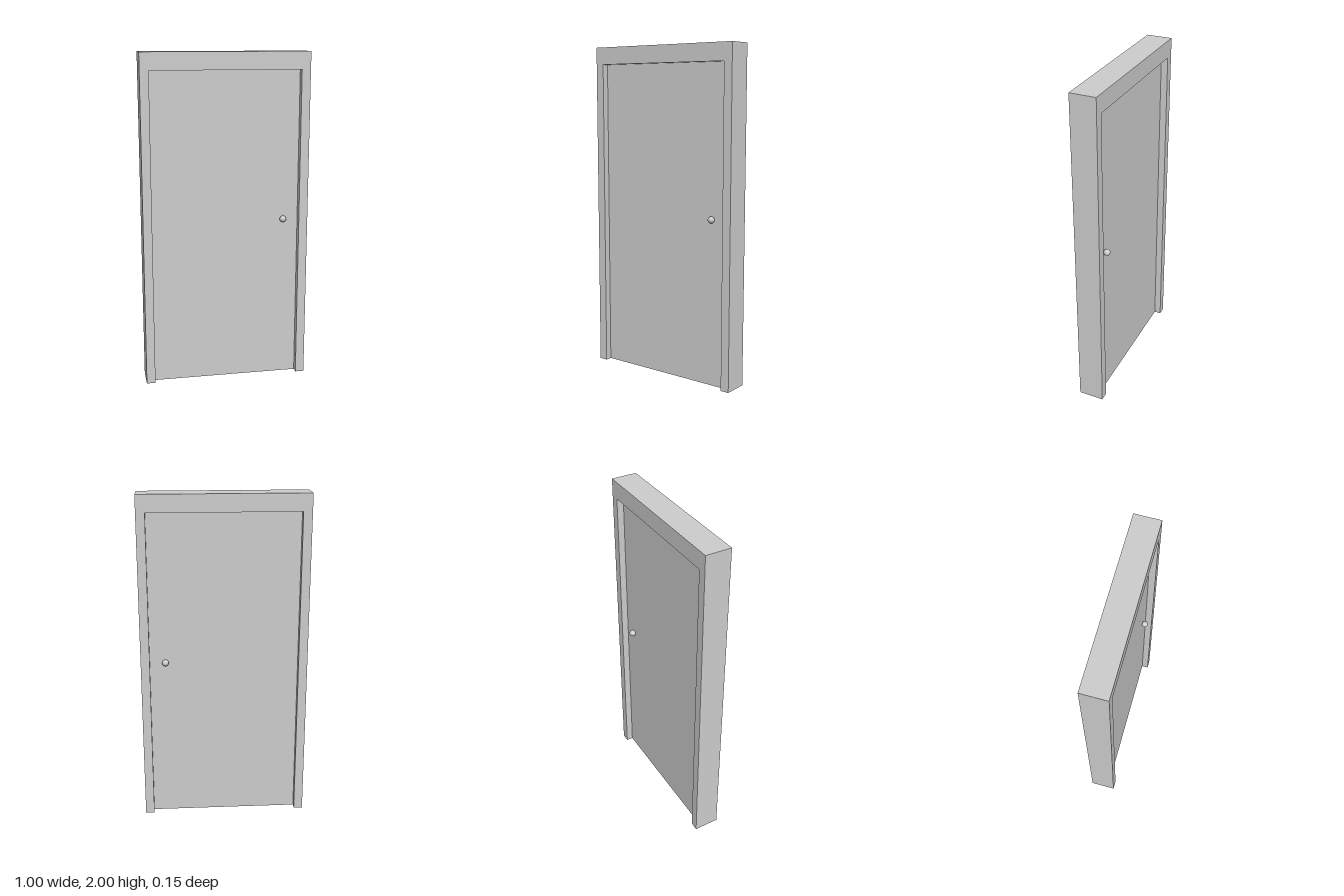
import * as THREE from 'three';

const W = 1, H = 2, DEPTH = 0.153;      // outer frame
const OPEN = 0.447, OPEN_TOP = 1.896;   // half width and height of the opening
const DOOR = 0.072;                     // door thickness

export function createModel() {
  const group = new THREE.Group();
  const mat = new THREE.MeshStandardMaterial({ color: 0xcccccc });
  const add = (name, geometry, parent = group) => {
    const mesh = new THREE.Mesh(geometry, mat);
    mesh.name = name;
    parent.add(mesh);
    return mesh;
  };

  // Frame: two jambs and a header in one outline, open at the floor
  const outline = new THREE.Shape([
    [-W / 2, 0], [-OPEN, 0], [-OPEN, OPEN_TOP], [OPEN, OPEN_TOP],
    [OPEN, 0], [W / 2, 0], [W / 2, H], [-W / 2, H],
  ].map(([x, y]) => new THREE.Vector2(x, y)));
  const frame = new THREE.ExtrudeGeometry(outline, { depth: DEPTH, bevelEnabled: false });
  add('doorFrame', frame.translate(0, 0, -DEPTH / 2));

  // Door panel, recessed equally on both faces
  add('doorPanel', new THREE.BoxGeometry(2 * OPEN, OPEN_TOP, DOOR)).position.y = OPEN_TOP / 2;

  // Round knob on a short neck, on each face
  for (const side of [1, -1]) {
    const knob = new THREE.Group();
    knob.name = side > 0 ? 'frontKnob' : 'backKnob';
    knob.position.set(0.353, 1, side * DOOR / 2);
    knob.rotation.y = side > 0 ? 0 : Math.PI;
    add('knobNeck', new THREE.CylinderGeometry(0.012, 0.012, 0.016, 16).rotateX(Math.PI / 2), knob).position.z = 0.006;
    add('knobBall', new THREE.SphereGeometry(0.02, 20, 14), knob).position.z = 0.016;
    group.add(knob);
  }
  return group;
}
